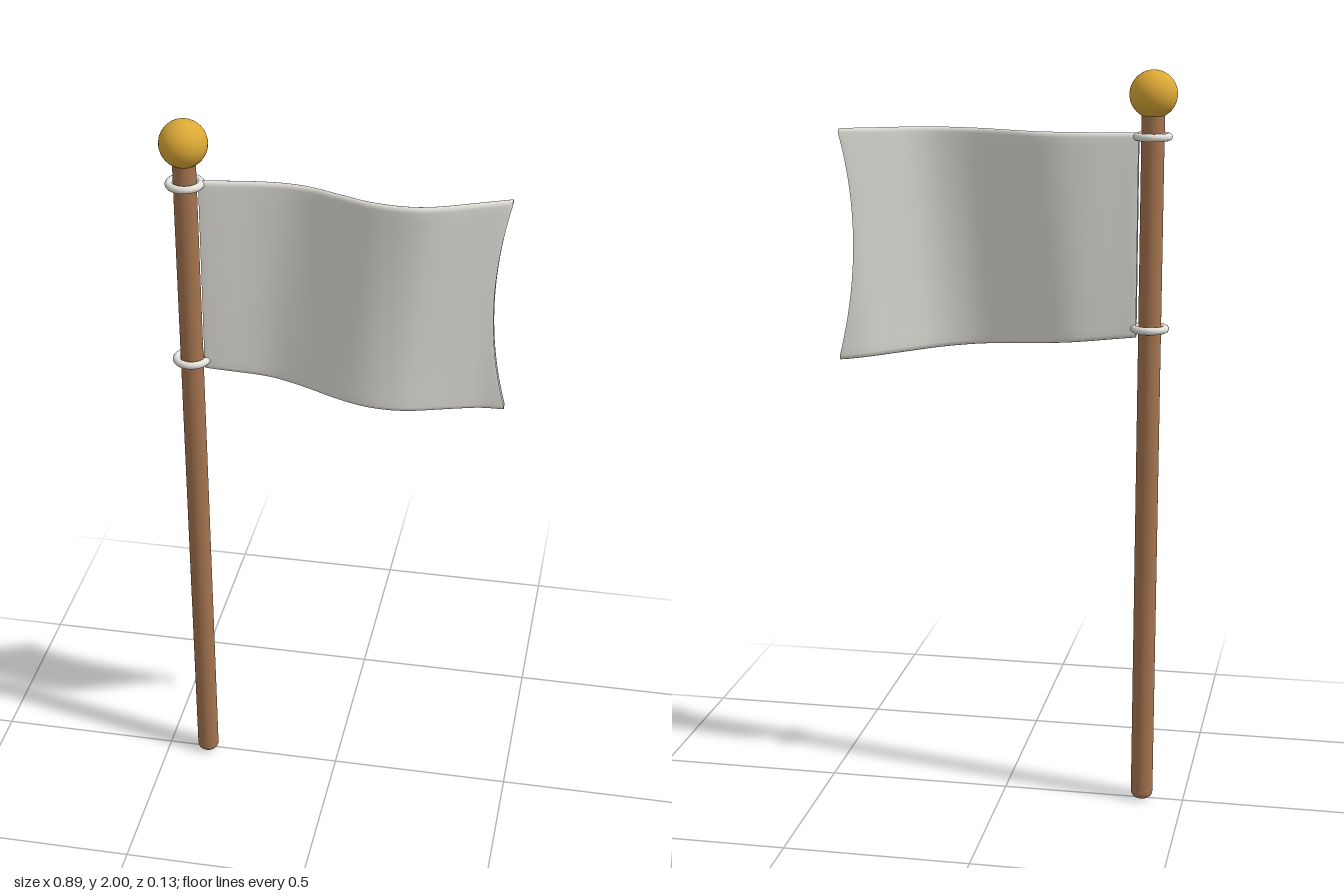
import * as THREE from 'three';

const POLE_X = -0.385, POLE_Z = 0.003;
const mat = (color, roughness = 0.7) => new THREE.MeshStandardMaterial({ color, roughness });

function addMesh(group, name, geometry, material, x = 0, y = 0, z = 0) {
  const mesh = new THREE.Mesh(geometry, material);
  mesh.name = name;
  mesh.position.set(x, y, z);
  group.add(mesh);
  return mesh;
}

// Wave of the cloth seen from above: one curve per edge, sampled by x
const wave = (points) => {
  const curve = new THREE.SplineCurve(points.map(([x, z]) => new THREE.Vector2(x, z)));
  const table = curve.getPoints(400);
  return (x) => {
    let i = 1;
    while (i < table.length - 1 && table[i].x < x) i++;
    const a = table[i - 1], b = table[i];
    return THREE.MathUtils.lerp(a.y, b.y, (x - a.x) / (b.x - a.x));
  };
};
const topWave = wave([[-0.36, 0.001], [-0.3, -0.007], [-0.21, -0.02], [-0.13, -0.023], [-0.06, -0.011],
  [0.02, 0.02], [0.1, 0.048], [0.19, 0.057], [0.26, 0.044], [0.35, 0.006], [0.45, -0.038]]);
const bottomWave = wave([[-0.36, 0.003], [-0.3, -0.002], [-0.21, -0.011], [-0.15, -0.008], [-0.07, 0.012],
  [0, 0.035], [0.07, 0.05], [0.13, 0.05], [0.2, 0.034], [0.3, -0.012], [0.38, -0.047], [0.45, -0.061]]);

// Cloth: rounded thin cross-sections lofted from the pole to the free edge
function clothGeometry() {
  const x0 = -0.35, length = 0.79, top = 1.84, half = 0.009, round = 0.013;
  const stations = [];
  for (let i = 0; i < 6; i++) {
    const a = (i / 6) * Math.PI / 2;
    stations.push([round * (1 - Math.cos(Math.PI / 2 - a)), half * Math.sin(a)]);
  }
  // ends taper round, the middle keeps full thickness
  const middle = [];
  for (let i = 0; i <= 48; i++) middle.push([round + (length - 2 * round) * i / 48, half]);
  const all = [...stations, ...middle, ...stations.slice().reverse().map(([s, h]) => [length - s, h])];

  // loop as [height fraction, cos, sin]
  const loop = [], rows = 24, arc = 6;
  for (let j = 0; j <= rows; j++) loop.push([j / rows, 1, 0]);
  for (let j = 1; j < arc; j++) loop.push([1, Math.cos(Math.PI * j / arc), Math.sin(Math.PI * j / arc)]);
  for (let j = rows; j >= 0; j--) loop.push([j / rows, -1, 0]);
  for (let j = 1; j < arc; j++) loop.push([0, -Math.cos(Math.PI * j / arc), -Math.sin(Math.PI * j / arc)]);

  const position = [], index = [], n = loop.length;
  all.forEach(([s, h], i) => {
    const u = s / length, bottom = 1.303 - 0.078 * u;
    for (let j = 0; j < n; j++) {
      const [v, c, sn] = loop[j];
      const x = x0 + s - 0.036 * 4 * v * (1 - v) * u ** 3;
      const y = THREE.MathUtils.lerp(bottom + round, top - round, v) + sn * round * h / half;
      const z = THREE.MathUtils.lerp(bottomWave(x), topWave(x), v) + c * h;
      position.push(x, y, z);
      if (i < all.length - 1) {
        const a = i * n + j, b = i * n + (j + 1) % n;
        index.push(a, a + n, b, b, a + n, b + n);
      }
    }
  });
  const geometry = new THREE.BufferGeometry();
  geometry.setAttribute('position', new THREE.Float32BufferAttribute(position, 3));
  geometry.setIndex(index);
  geometry.computeVertexNormals();
  return geometry;
}

export function createModel() {
  const group = new THREE.Group();
  group.name = 'flag';
  const wood = mat(0xa5744f), gold = mat(0xdca936, 0.5), white = mat(0xe3e1da);

  // Pole with a rounded foot
  const profile = [new THREE.Vector2(0, 0)];
  for (let i = 0; i <= 6; i++) {
    const a = (i / 6) * Math.PI / 2;
    profile.push(new THREE.Vector2(0.01 + 0.02 * Math.sin(a), 0.02 - 0.02 * Math.cos(a)));
  }
  profile.push(new THREE.Vector2(0.03, 1.92), new THREE.Vector2(0, 1.92));
  addMesh(group, 'pole', new THREE.LatheGeometry(profile, 32), wood, POLE_X, 0, POLE_Z);

  // Ball on top
  addMesh(group, 'finial', new THREE.SphereGeometry(0.062, 40, 28), gold, POLE_X, 1.938, POLE_Z);

  // Rings holding the cloth
  [['upperRing', 1.83], ['lowerRing', 1.328]].forEach(([name, y]) => {
    const ring = new THREE.TorusGeometry(0.041, 0.01, 14, 40).rotateX(Math.PI / 2);
    addMesh(group, name, ring, white, POLE_X, y, POLE_Z);
  });

  addMesh(group, 'cloth', clothGeometry(), white);
  return group;
}
